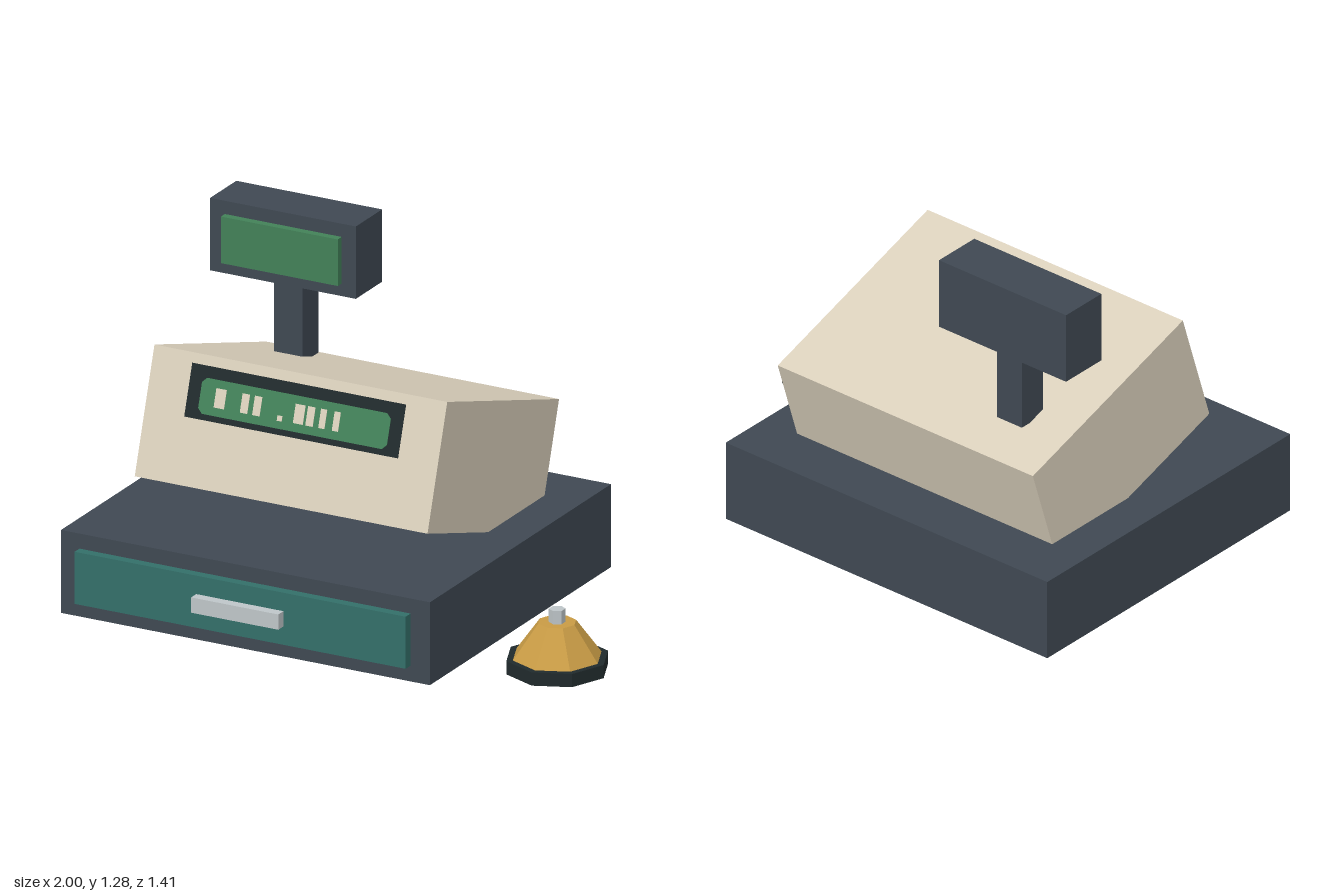
import * as THREE from 'three';

export function createModel() {
  const model = new THREE.Group();
  model.name = 'cashRegister';
  const mat = (name, color, flatShading = true) => {
    const m = new THREE.MeshStandardMaterial({ color, flatShading });
    m.name = name;
    return m;
  };
  const slate = mat('slate', 0x3f4852);
  const cream = mat('cream', 0xd9cfbb);
  const teal = mat('teal', 0x336f69);
  const silver = mat('silver', 0xbec5c8);
  const green = mat('displayGreen', 0x428158);
  const black = mat('black', 0x202a2c);
  const brass = mat('brass', 0xc89b45);

  const add = (parent, name, geometry, material, x = 0, y = 0, z = 0) => {
    const mesh = new THREE.Mesh(geometry, material);
    mesh.name = name;
    mesh.position.set(x, y, z);
    parent.add(mesh);
    return mesh;
  };
  // Box given by its limits on each axis
  const box = (parent, name, material, [x0, x1], [y0, y1], [z0, z1]) =>
    add(parent, name, new THREE.BoxGeometry(x1 - x0, y1 - y0, z1 - z0), material,
      (x0 + x1) / 2, (y0 + y1) / 2, (z0 + z1) / 2);

  // Base with cash drawer
  box(model, 'base', slate, [-1, 0.493], [0, 0.315], [-0.705, 0.632]);
  box(model, 'drawerFront', teal, [-0.925, 0.415], [0.06, 0.258], [0.62, 0.668]);
  box(model, 'drawerHandle', silver, [-0.433, -0.08], [0.13, 0.188], [0.66, 0.706]);

  // Tilted housing, sunk into the base
  const housing = new THREE.Group();
  housing.name = 'housing';
  housing.position.set(-0.2525, 0.5525, -0.115);
  housing.rotation.x = -0.312;
  model.add(housing);
  const W = 1.185, H = 0.475, D = 0.867, front = D / 2;
  add(housing, 'housingBody', new THREE.BoxGeometry(W, H, D), cream);

  // Readout: dark bezel, green screen with cut corners, pale segments
  const plate = (name, material, x0, x1, y0, y1, layer) =>
    box(housing, name, material, [x0, x1], [y0, y1], [front - 0.003, front + 0.0015 * layer]);
  plate('readoutBezel', black, -0.4325, 0.4325, 0.006, 0.2, 1);
  const sx = 0.382, sy = 0.065, c = 0.018;
  const screen = new THREE.Shape([
    [-sx + c, -sy], [sx - c, -sy], [sx, -sy + c], [sx, sy - c],
    [sx - c, sy], [-sx + c, sy], [-sx, sy - c], [-sx, -sy + c],
  ].map(([x, y]) => new THREE.Vector2(x, y)));
  add(housing, 'readoutScreen', new THREE.ExtrudeGeometry(screen, { depth: 0.0015, bevelEnabled: false }),
    green, 0, 0.0925, front + 0.0015);
  [[-0.3, 0.042], [-0.2, 0.03], [-0.15, 0.03], [0.02, 0.04], [0.065, 0.03], [0.115, 0.025], [0.17, 0.025]]
    .forEach(([x, w]) => plate('readoutSegment', cream, x - w / 2, x + w / 2, 0.058, 0.128, 3));
  plate('readoutSegment', cream, -0.065, -0.045, 0.055, 0.075, 3);

  // Thin seam under the housing
  box(housing, 'undersideSeam', black, [-0.4325, 0.4325], [-H / 2 - 0.002, -H / 2 + 0.002], [0.358, 0.378]);

  // Customer display on a pole
  box(model, 'displayPole', slate, [-0.667, -0.552], [0.708, 1.02], [-0.45, -0.333]);
  box(model, 'displayHead', slate, [-0.905, -0.315], [1.008, 1.283], [-0.489, -0.295]);
  box(model, 'displayScreen', green, [-0.845, -0.372], [1.056, 1.233], [-0.31, -0.266]);

  // Counter bell
  const bell = new THREE.Group();
  bell.name = 'counterBell';
  bell.position.set(0.812, 0, 0.274);
  model.add(bell);
  add(bell, 'bellBase', new THREE.CylinderGeometry(0.188, 0.188, 0.05, 8), black, 0, 0.025, 0);
  add(bell, 'bellDome', new THREE.CylinderGeometry(0.07, 0.164, 0.13, 8), brass, 0, 0.115, 0);
  add(bell, 'bellButton', new THREE.CylinderGeometry(0.03, 0.03, 0.06, 6), silver, 0, 0.2, 0);

  return model;
}
